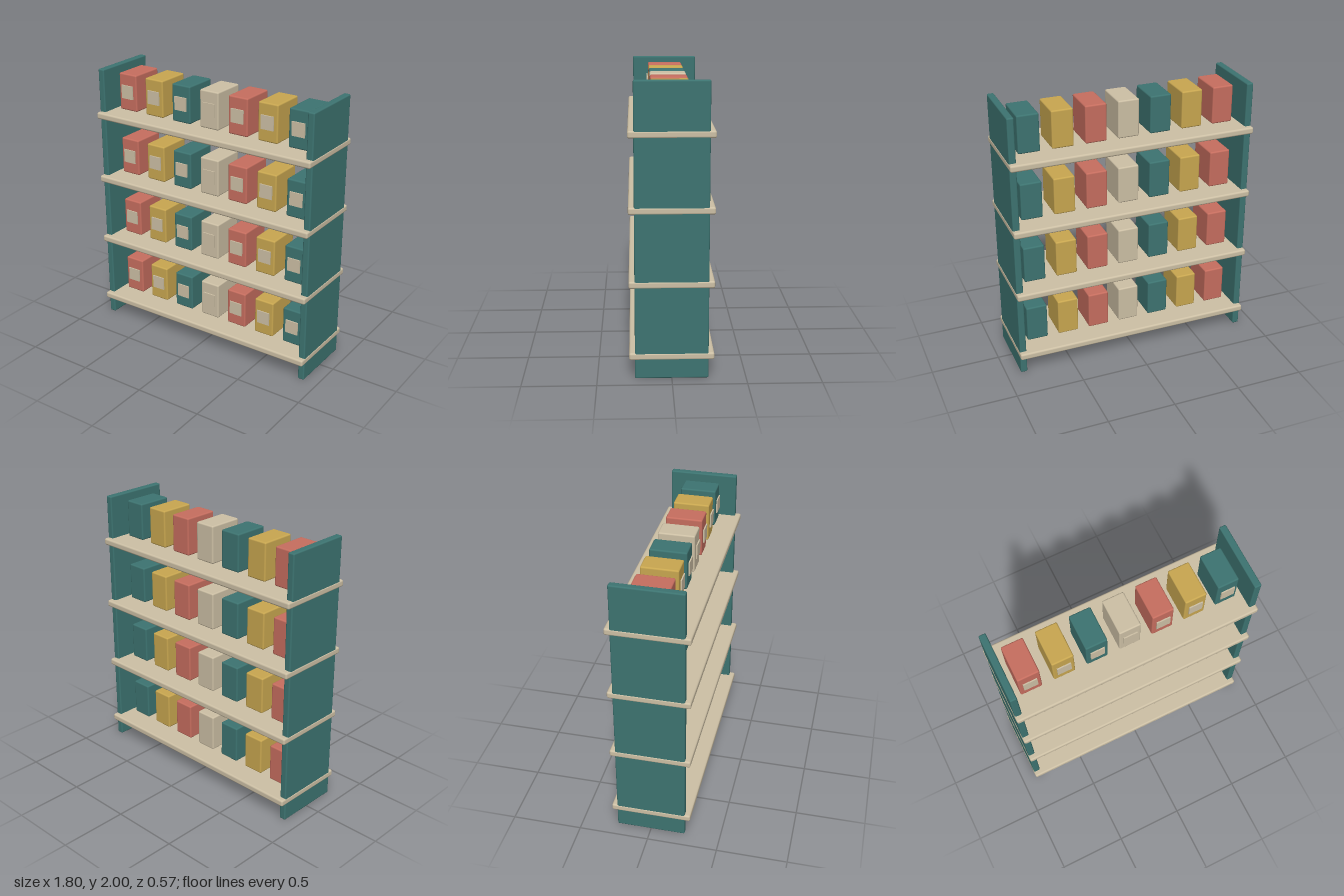
import * as THREE from 'three';
import { RoundedBoxGeometry } from 'three/addons/geometries/RoundedBoxGeometry.js';

function material(name, color) {
  const m = new THREE.MeshStandardMaterial({ color });
  m.name = name;
  return m;
}

export function createModel() {
  const group = new THREE.Group();
  group.name = 'shelfUnit';

  const teal = material('teal', 0x3d7471);
  const coral = material('coral', 0xc76e5f);
  const mustard = material('mustard', 0xc9a750);
  const cream = material('cream', 0xcdc0a5);

  const add = (name, geometry, mat, x, y, z) => {
    const mesh = new THREE.Mesh(geometry, mat);
    mesh.name = name;
    mesh.position.set(x, y, z);
    group.add(mesh);
  };

  // Upright side panels
  const panel = new RoundedBoxGeometry(0.05, 2, 0.494, 2, 0.01);
  add('leftPanel', panel, teal, 0.87, 1, 0);
  add('rightPanel', panel, teal, -0.87, 1, 0);

  // Shelves with rows of labelled cartons
  const shelf = new RoundedBoxGeometry(1.796, 0.05, 0.572, 2, 0.014);
  const carton = new RoundedBoxGeometry(0.156, 0.276, 0.26, 2, 0.011);
  const label = new THREE.BoxGeometry(0.1, 0.1, 0.009);
  const colours = [coral, mustard, teal, cream];

  for (let row = 0; row < 4; row++) {
    const y = 0.155 + row * 0.5;
    add('shelf', shelf, cream, 0, y, 0);
    for (let i = 0; i < 7; i++) {
      const x = (i - 3) * 0.24;
      add('carton', carton, colours[i % 4], x, y + 0.167, 0);
      add('cartonLabel', label, cream, x, y + 0.17, 0.1375);
    }
  }
  return group;
}
